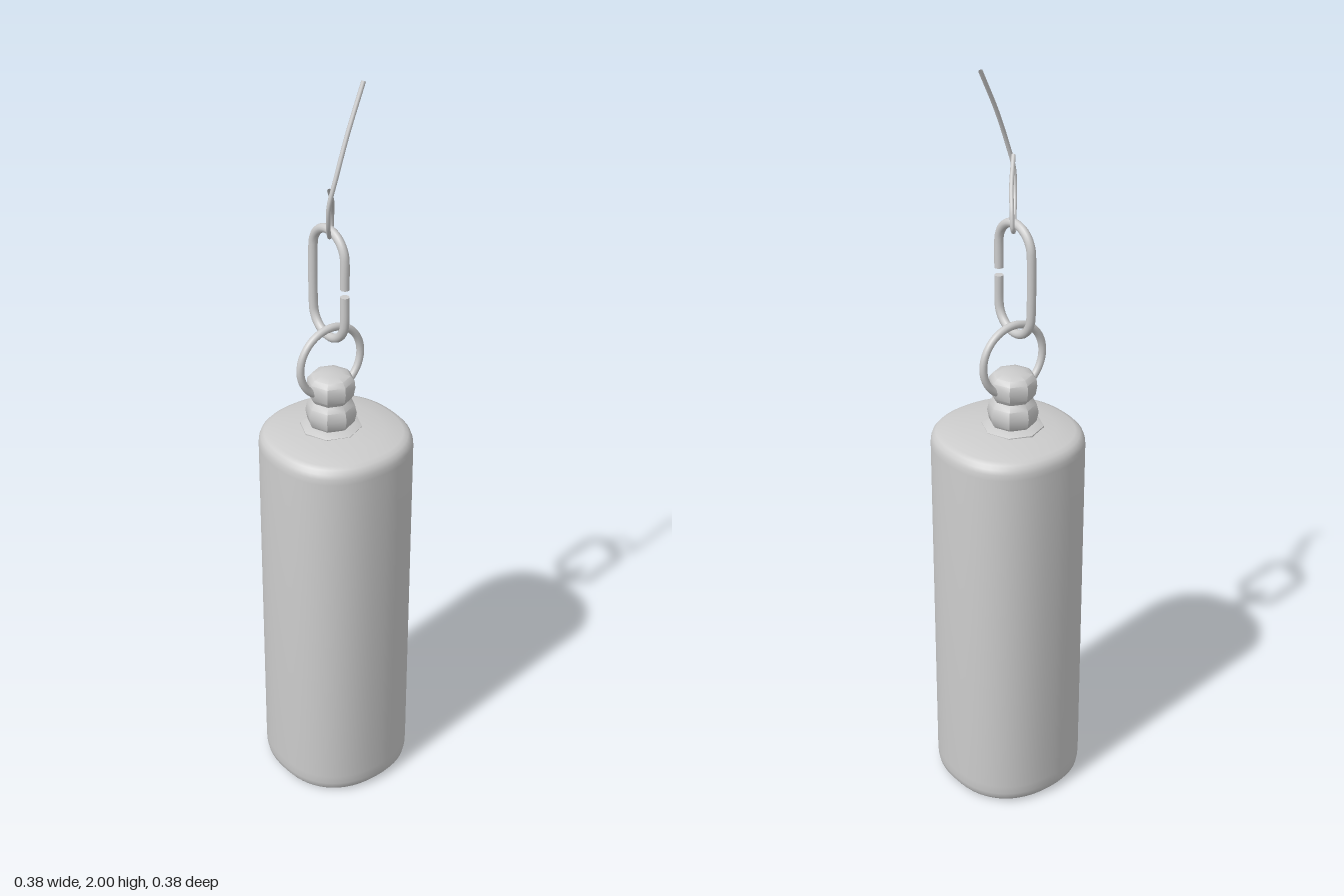
import * as THREE from 'three';
import { toCreasedNormals } from 'three/addons/utils/BufferGeometryUtils.js';

const V2 = (p) => new THREE.Vector2(p[0], p[1]);
const V3 = (p) => new THREE.Vector3(p[0], p[1], p[2]);

export function createModel() {
  const group = new THREE.Group();
  const metal = new THREE.MeshStandardMaterial({ color: 0xcccccc, side: THREE.DoubleSide });
  metal.name = 'grey metal';
  const add = (name, geometry, x = 0, y = 0, z = 0) => {
    const mesh = new THREE.Mesh(geometry, metal);
    mesh.name = name;
    mesh.position.set(x, y, z);
    group.add(mesh);
    return mesh;
  };

  // Hollow weight: open hole underneath, slightly squared round section
  const body = new THREE.LatheGeometry([
    [0.105, 0.008], [0.15, 0.004], [0.168, 0.005], [0.179, 0.01], [0.186, 0.02], [0.189, 0.035],
    [0.19, 0.06], [0.19, 0.5], [0.19, 1.03], [0.189, 1.045], [0.185, 1.057],
    [0.177, 1.066], [0.165, 1.071], [0.12, 1.078], [0.07, 1.085], [0, 1.085],
  ].map(V2), 64);
  const pos = body.attributes.position;
  for (let i = 0; i < pos.count; i++) {
    const x = pos.getX(i), z = pos.getZ(i), r = Math.hypot(x, z);
    if (r < 1e-6) continue;
    const n = r < 0.11 ? 2 : 2.3;
    const k = Math.pow(Math.abs(x / r) ** n + Math.abs(z / r) ** n, -1 / n);
    pos.setX(i, x * k);
    pos.setZ(i, z * k);
  }
  add('weightBody', toCreasedNormals(body, 0.7));

  // Eight-sided collar and double-bulged knob
  const cx = -0.008, cz = -0.01;
  const turned = (profile) =>
    toCreasedNormals(new THREE.LatheGeometry(profile.map(V2), 8), 0.7);
  add('collar', turned([[0.08, 1.08], [0.08, 1.086], [0.062, 1.094], [0, 1.094]]), cx, 0, cz);
  add('knob', turned([
    [0.05, 1.085], [0.061, 1.1], [0.066, 1.125], [0.061, 1.148], [0.05, 1.163],
    [0.058, 1.175], [0.062, 1.198], [0.06, 1.218], [0.05, 1.23], [0.03, 1.236], [0, 1.238],
  ]), cx, 0, cz);

  // Ring through the knob
  add('ring', new THREE.TorusGeometry(0.093, 0.01, 12, 48), cx, 1.269, -0.011);

  // Long chain link, split at the middle of its front side
  const R = 0.064, half = 0.08, gap = 0.01;
  const points = [[0, gap, R]];
  for (let s = 0; s < 2; s++) {
    for (let i = 0; i <= 10; i++) {
      const a = (s + i / 10) * Math.PI;
      points.push([0, Math.sin(a) * R + (s ? -half : half), Math.cos(a) * R]);
    }
  }
  points.push([0, -gap, R]);
  const linkPath = new THREE.CatmullRomCurve3(points.map(V3), false, 'centripetal');
  add('chainLink', new THREE.TubeGeometry(linkPath, 90, 0.0115, 12), -0.013, 1.485, -0.011);
  for (const s of [1, -1]) {
    const cap = add('linkEnd', new THREE.CircleGeometry(0.0115, 12), -0.013, 1.485 + s * gap, -0.011 + R);
    cap.rotation.x = s * Math.PI / 2;
  }

  // Thin wire looped through the link
  const wirePath = new THREE.CatmullRomCurve3([
    [0.046, 1.998, 0.043], [-0.013, 1.89, 0.061], [-0.052, 1.8, 0.071], [-0.071, 1.73, 0.068],
    [-0.061, 1.67, 0.052], [-0.033, 1.627, 0.018], [-0.008, 1.611, -0.013], [0.006, 1.622, -0.026],
    [0.002, 1.665, -0.018], [-0.022, 1.71, 0.015], [-0.067, 1.768, 0.065],
  ].map(V3), false, 'centripetal');
  add('wire', new THREE.TubeGeometry(wirePath, 80, 0.0055, 8));
  return group;
}
